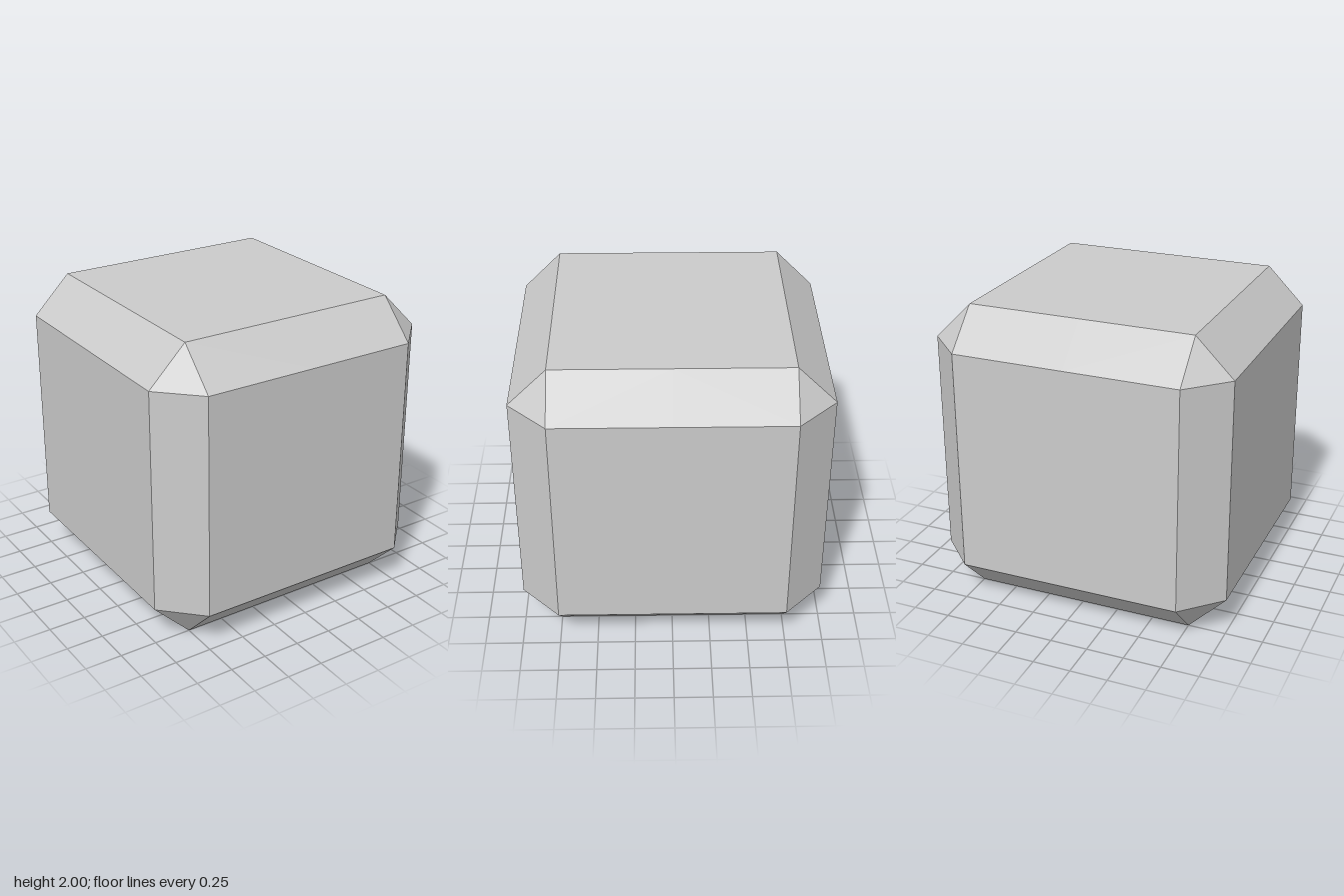
import * as THREE from 'three';
import { ConvexGeometry } from 'three/addons/geometries/ConvexGeometry.js';

const HALF = 1;      // half the side of the cube
const FLAT = 0.75;   // half the side of each flat face, leaving a 0.25 chamfer

// One eighth of the chamfered cube, reaching from the centre to the corner (sx, sy, sz)
function eighthGeometry(sx, sy, sz) {
  const points = [new THREE.Vector3(0, 0, 0)];
  for (const a of [0, FLAT]) {
    for (const b of [0, FLAT]) {
      for (const [x, y, z] of [[HALF, a, b], [b, HALF, a], [a, b, HALF]]) {
        points.push(new THREE.Vector3(x * sx, y * sy, z * sz));
      }
    }
  }
  return new ConvexGeometry(points);
}

export function createModel() {
  const model = new THREE.Group();
  model.name = 'chamferedCube';
  const material = new THREE.MeshStandardMaterial({ color: 0xcccccc, flatShading: true });

  // Eight solid blocks meeting at the centre planes
  for (const sx of [-1, 1]) {
    for (const sy of [-1, 1]) {
      for (const sz of [-1, 1]) {
        const block = new THREE.Mesh(eighthGeometry(sx, sy, sz), material);
        block.name = [
          sy > 0 ? 'top' : 'bottom',
          sz > 0 ? 'Front' : 'Back',
          sx > 0 ? 'Left' : 'Right',
          'Block',
        ].join('');
        block.position.y = HALF;
        model.add(block);
      }
    }
  }
  return model;
}
